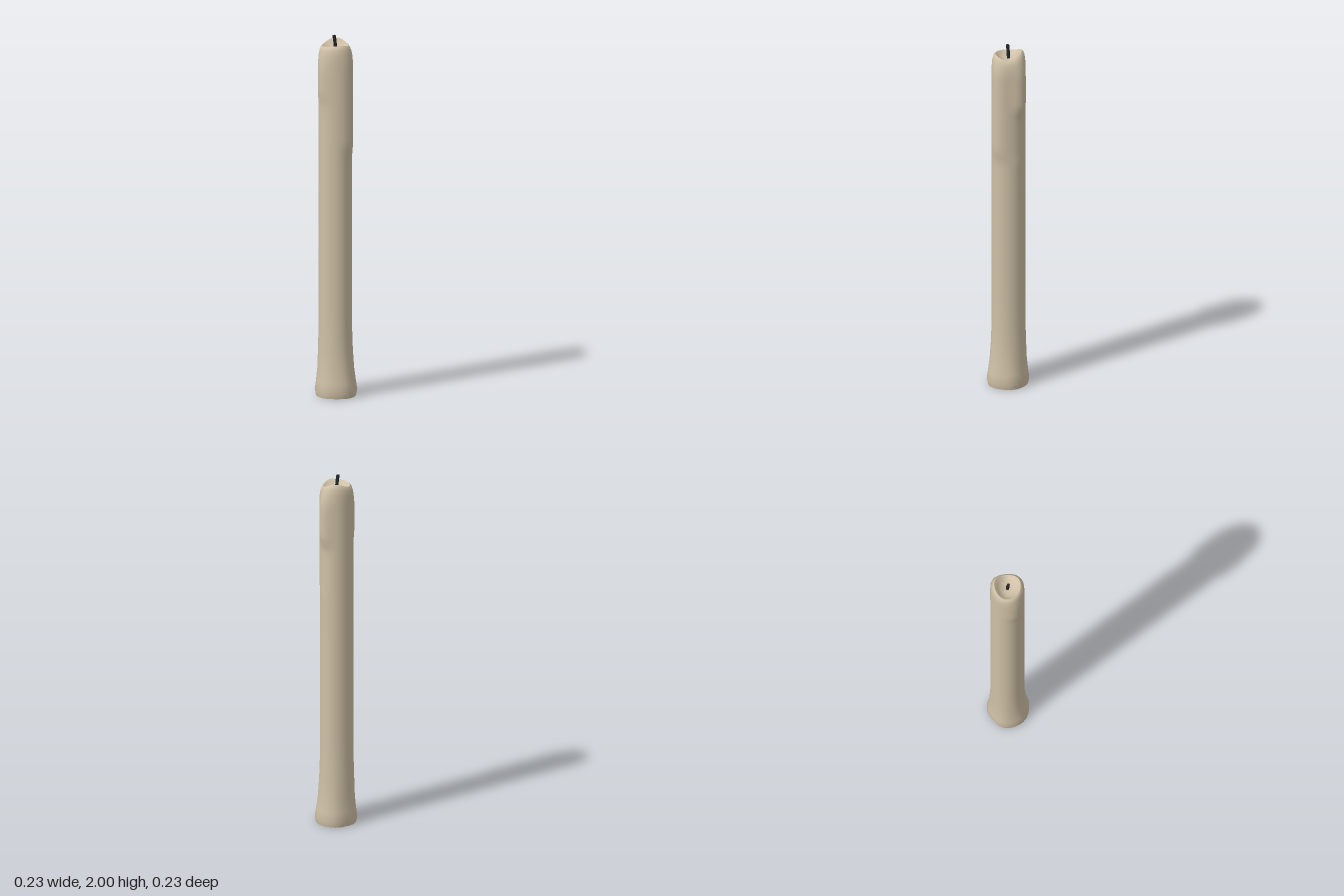
import * as THREE from 'three';
import { mergeVertices, toCreasedNormals } from 'three/addons/utils/BufferGeometryUtils.js';

const smooth = THREE.MathUtils.smoothstep;

// Wax runs: angle (0 = +z, PI/2 = +x), half width, bottom, top, thickness
const drips = [
  [1.55, 0.42, 1.59, 1.95, 0.02],
  [1.4, 0.3, 1.27, 1.4, 0.006],
  [-1.85, 0.5, 1.62, 1.93, 0.011],
  [0.1, 0.5, 1.33, 1.96, 0.012],
];

function dripAt(angle, y) {
  let sum = 0;
  for (const [a, width, low, high, depth] of drips) {
    const d = Math.atan2(Math.sin(angle - a), Math.cos(angle - a)) / width;
    sum += depth * Math.exp(-d * d) * smooth(y, low, low + 0.07) * (1 - smooth(y, high - 0.12, high));
  }
  return sum;
}

// Uneven melted rim: one high lobe at the back left, a lower one opposite
function rimAt(angle) {
  return 0.006 * Math.cos(angle - 2.35) + 0.011 * Math.cos(2 * (angle - 2.35)) + 0.003 * Math.cos(3 * angle);
}

function waxGeometry() {
  const outer = [[0, 0], [0.108, 0], [0.115, 0.03], [0.108, 0.08], [0.1, 0.15], [0.095, 0.25], [0.0915, 0.36]];
  for (let y = 0.5; y < 1.25; y += 0.15) outer.push([0.091, y]);
  for (let y = 1.26; y < 1.88; y += 0.035) outer.push([0.091, y]);
  // Rounded lip, then the melted bowl
  outer.push([0.09, 1.9], [0.086, 1.925], [0.08, 1.942], [0.072, 1.949], [0.064, 1.944],
    [0.054, 1.932], [0.035, 1.924], [0, 1.921]);
  let geo = new THREE.LatheGeometry(outer.map(([r, y]) => new THREE.Vector2(r, y)), 32);
  const pos = geo.attributes.position;
  for (let i = 0; i < pos.count; i++) {
    const x = pos.getX(i), y = pos.getY(i), z = pos.getZ(i);
    const r = Math.hypot(x, z);
    if (r < 1e-5) { pos.setXYZ(i, 0, y, -0.005); continue; }
    const angle = Math.atan2(x, z);
    const foot = 1 - smooth(y, 0.02, 0.3);
    const wobble = 0.0015 * Math.cos(3 * angle + 0.6) + 0.002 * foot * Math.cos(5 * angle + 1);
    const k = (r + (r > 0.08 ? dripAt(angle, y) : 0) + wobble * Math.min(1, r / 0.08)) / r;
    const lift = rimAt(angle) * smooth(y, 1.8, 1.93) * smooth(r, 0.02, 0.07);
    pos.setXYZ(i, x * k - 0.001 * foot, y + lift, z * k - 0.006 * (1 - foot));
  }
  geo.deleteAttribute('uv');
  geo.deleteAttribute('normal');
  geo = mergeVertices(geo, 1e-5);
  return toCreasedNormals(geo, 1);
}

export function createModel() {
  const wax = new THREE.MeshStandardMaterial({ color: 0xcfc0a6 });
  wax.name = 'wax';
  const char = new THREE.MeshStandardMaterial({ color: 0x25272b });
  char.name = 'charred wick';

  const group = new THREE.Group();
  group.name = 'candle';

  const body = new THREE.Mesh(waxGeometry(), wax);
  body.name = 'waxBody';
  group.add(body);

  // Slightly bent wick with a closed tip
  const path = new THREE.CatmullRomCurve3([
    new THREE.Vector3(-0.001, 1.91, -0.008),
    new THREE.Vector3(-0.003, 1.955, -0.007),
    new THREE.Vector3(-0.009, 1.996, -0.009),
  ]);
  const wick = new THREE.Mesh(new THREE.TubeGeometry(path, 6, 0.009, 8), char);
  wick.name = 'wick';
  const tip = new THREE.Mesh(new THREE.SphereGeometry(0.009, 8, 6), char);
  tip.name = 'wickTip';
  tip.scale.y = 0.5;
  tip.position.set(-0.009, 1.9955, -0.009);
  group.add(wick, tip);
  return group;
}
